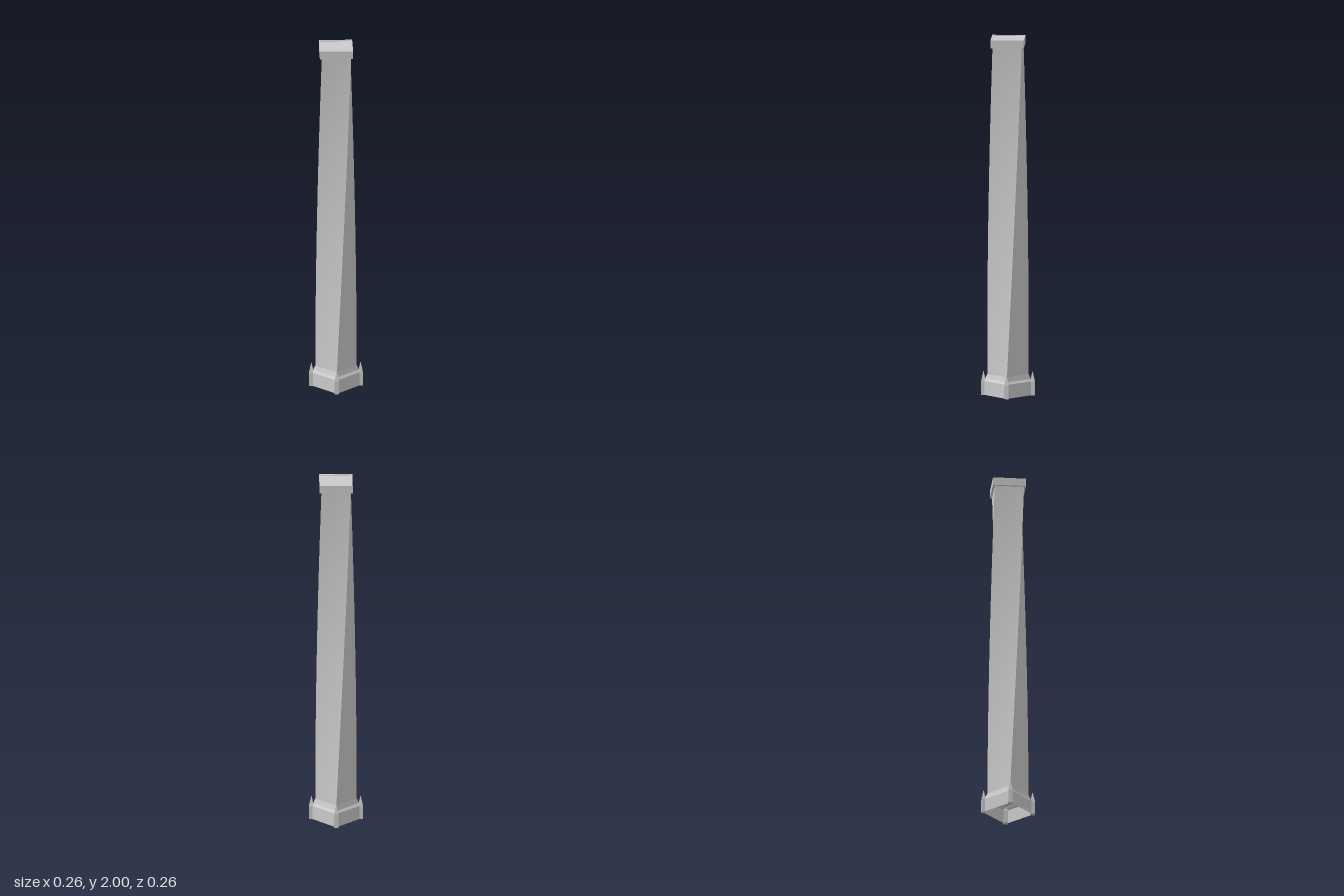
import * as THREE from 'three';

const flat = new THREE.MeshStandardMaterial({ color: 0xcccccc, flatShading: true });
const flatDouble = new THREE.MeshStandardMaterial({ color: 0xcccccc, flatShading: true, side: THREE.DoubleSide });
const smooth = new THREE.MeshStandardMaterial({ color: 0xcccccc });

function add(parent, name, geometry, material) {
  const mesh = new THREE.Mesh(geometry, material);
  mesh.name = name;
  parent.add(mesh);
  return mesh;
}

// Four-sided solid from a [corner radius, height] profile
function squareLathe(profile, turn) {
  const points = profile.map(([r, y]) => new THREE.Vector2(r, y));
  return new THREE.LatheGeometry(points, 4, turn);
}

// Square shaft turned by a steady twist along its height
function twistedShaft(side, y0, y1, twist) {
  const geo = new THREE.BoxGeometry(side, y1 - y0, side, 4, 40, 4);
  geo.translate(0, (y0 + y1) / 2, 0);
  const pos = geo.attributes.position;
  const v = new THREE.Vector3();
  const up = new THREE.Vector3(0, 1, 0);
  for (let i = 0; i < pos.count; i++) {
    v.fromBufferAttribute(pos, i);
    v.applyAxisAngle(up, twist * (v.y - y0) / (y1 - y0));
    pos.setXYZ(i, v.x, v.y, v.z);
  }
  geo.computeVertexNormals();
  return geo;
}

export function createModel() {
  const model = new THREE.Group();
  model.name = 'twistedTower';

  // Hollow plinth, open below, sloping in to the shaft
  add(model, 'base', squareLathe([[0.1414, 0], [0.1414, 0.078], [0.126, 0.09], [0.114, 0.118]], Math.PI / 4), flatDouble);

  // Shaft makes an eighth of a turn
  add(model, 'shaft', twistedShaft(0.162, 0.09, 1.96, Math.PI / 4), smooth);

  // Cap slab with a narrow rim around a shallow recess
  add(model, 'cap', squareLathe([[0, 1.955], [0.13, 1.955], [0.13, 2], [0.117, 2], [0.117, 1.995], [0, 1.995]], 0), flat);

  // Pointed posts on the plinth corners
  for (const sx of [-1, 1]) {
    for (const sz of [-1, 1]) {
      const post = add(model, 'cornerPost', squareLathe([[0, 0], [0.018, 0], [0.018, 0.075], [0, 0.137]], 0), flat);
      post.position.set(sx * 0.096, 0, sz * 0.096);
    }
  }
  return model;
}
